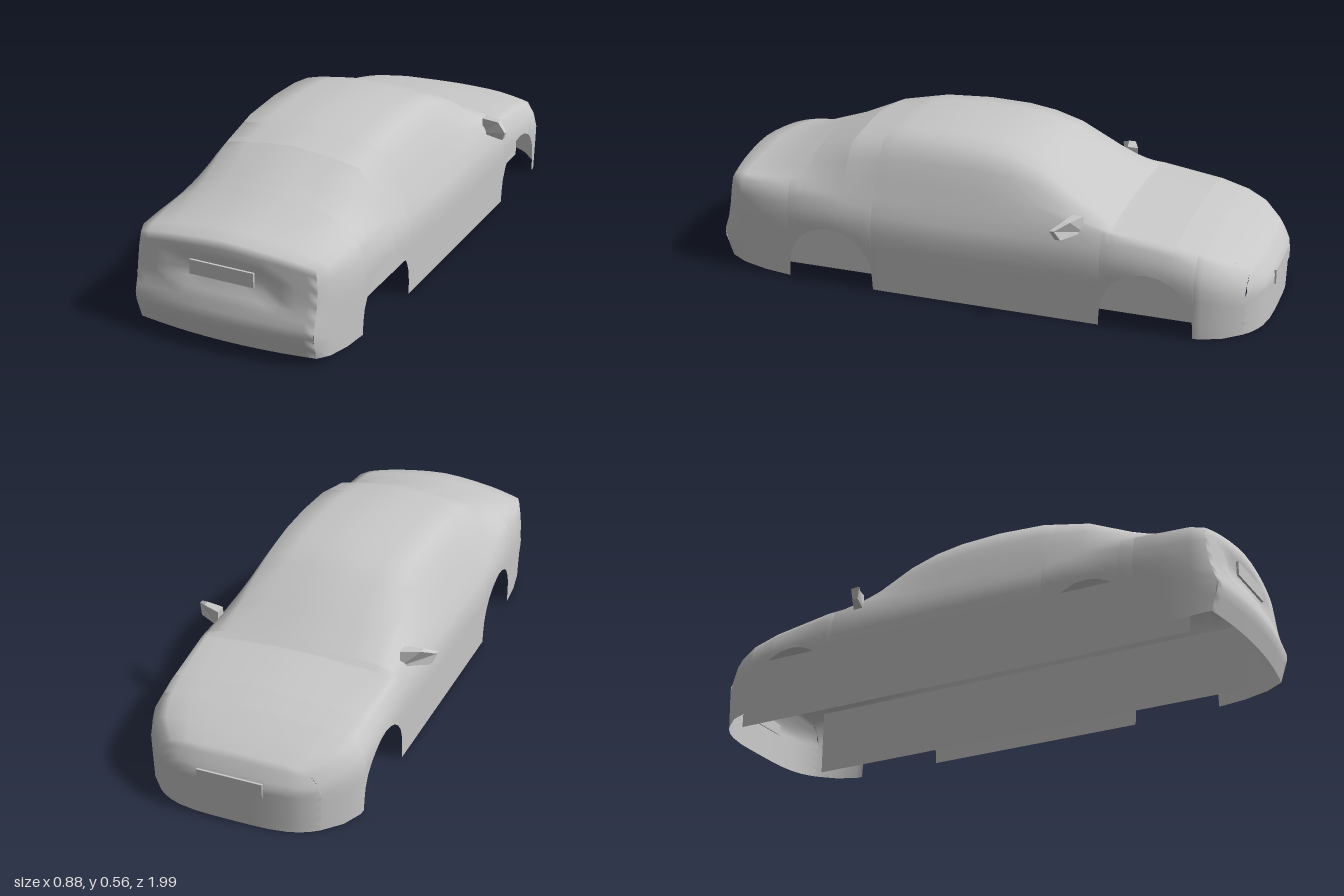
import * as THREE from 'three';
import { mergeVertices } from 'three/addons/utils/BufferGeometryUtils.js';

// Stations from nose to tail: z, half width, belt x, belt y, roof edge x, roof edge y, centre y
const STATIONS = [
  [-0.94, 0.29, 0.25, 0.21, 0.17, 0.235, 0.24],
  [-0.87, 0.345, 0.31, 0.245, 0.21, 0.265, 0.272],
  [-0.8, 0.375, 0.335, 0.27, 0.23, 0.288, 0.298],
  [-0.7, 0.38, 0.342, 0.295, 0.24, 0.31, 0.322],
  [-0.48, 0.38, 0.35, 0.325, 0.28, 0.335, 0.35],
  [-0.34, 0.38, 0.347, 0.333, 0.265, 0.405, 0.43],
  [-0.2, 0.38, 0.345, 0.335, 0.25, 0.485, 0.512],
  [-0.1, 0.38, 0.345, 0.335, 0.25, 0.515, 0.54],
  [0, 0.38, 0.345, 0.335, 0.25, 0.53, 0.552],
  [0.15, 0.38, 0.345, 0.335, 0.25, 0.535, 0.56],
  [0.32, 0.38, 0.345, 0.335, 0.25, 0.525, 0.55],
  [0.49, 0.378, 0.345, 0.335, 0.245, 0.49, 0.52],
  [0.64, 0.37, 0.345, 0.335, 0.235, 0.425, 0.46],
  [0.79, 0.36, 0.34, 0.335, 0.22, 0.378, 0.402],
  [0.88, 0.345, 0.333, 0.335, 0.21, 0.362, 0.383],
  [0.94, 0.325, 0.315, 0.332, 0.2, 0.355, 0.373],
];
const ARCHES = [-0.615, 0.53], ARCH_R = 0.16, ARCH_Y = 0.05;
const SIDE = 6, GLASS = 3, ROOF = 3;
const FRONT_FACE = [[0, 0.99], [0.16, 0.995], [0.2, 0.975], [0.24, 0.95]];
const REAR_FACE = [[0.03, 0.965], [0.12, 0.995], [0.2, 0.968], [0.3, 0.956], [0.375, 0.946]];
const SILL = [[0.69, 0.003], [0.85, 0.012], [0.94, 0.03]];

// Linear lookup in rows keyed by their first number
function lookup(rows, v) {
  if (v <= rows[0][0]) return rows[0];
  for (let i = 1; i < rows.length; i++) {
    if (v <= rows[i][0]) {
      const t = (v - rows[i - 1][0]) / (rows[i][0] - rows[i - 1][0]);
      return rows[i].map((b, k) => THREE.MathUtils.lerp(rows[i - 1][k], b, t));
    }
  }
  return rows[rows.length - 1];
}

// Lower edge of the body side, with the wheel arches cut upwards
function lowerEdge(z) {
  for (const c of ARCHES) {
    const d = Math.abs(z - c);
    if (d <= ARCH_R + 1e-6) return ARCH_Y + Math.sqrt(Math.max(0, ARCH_R ** 2 - d * d));
  }
  return lookup(SILL, z)[1];
}

// Depth of the nose and tail surfaces
function endZ(x, y, rear) {
  if (!rear) return -lookup(FRONT_FACE, y)[1] + 0.065 * (Math.abs(x) / 0.29) ** 4;
  const recess = Math.abs(x) < 0.17 && y > 0.215 && y < 0.305 ? 0.018 : 0;
  return lookup(REAR_FACE, y)[1] - 0.03 * (x / 0.325) ** 2 - recess;
}

// Half section from the lower edge to the centre line
function halfSection(z) {
  const [, hw, xb, yb, xe, ye, yt] = lookup(STATIONS, z);
  const y0 = lowerEdge(z), yMax = Math.min(0.22, yb * 0.65), pts = [];
  for (let i = 0; i <= SIDE; i++) {
    const y = THREE.MathUtils.lerp(y0, yb, i / SIDE);
    const x = y < yMax ? hw - 0.006 * (1 - y / yMax)
      : hw - (hw - xb) * ((y - yMax) / (yb - yMax)) ** 2;
    pts.push([x, y]);
  }
  for (let i = 1; i <= GLASS; i++) {
    const t = i / GLASS, bulge = 0.008 * Math.sin(Math.PI * t);
    pts.push([THREE.MathUtils.lerp(xb, xe, t) + bulge, THREE.MathUtils.lerp(yb, ye, t)]);
  }
  for (let i = 1; i <= ROOF; i++) {
    const t = 1 - i / ROOF;
    pts.push([xe * t, ye + (yt - ye) * (1 - t ** 1.5)]);
  }
  return pts;
}

function bodyGeometry() {
  const zs = STATIONS.map(s => s[0]);
  for (const c of ARCHES) {
    for (let i = 0; i <= 12; i++) zs.push(c - ARCH_R * Math.cos(Math.PI * i / 12));
    zs.push(c - ARCH_R - 0.002, c + ARCH_R + 0.002);
  }
  zs.sort((a, b) => a - b);

  const pos = [], index = [];
  const addGrid = (rows, flip) => {
    const base = pos.length / 3, n = rows[0].length;
    rows.forEach(r => r.forEach(p => pos.push(...p)));
    for (let r = 0; r < rows.length - 1; r++) for (let k = 0; k < n - 1; k++) {
      const a = base + r * n + k, b = a + n, c = a + 1, d = b + 1;
      if (flip) index.push(a, c, b, c, d, b);
      else index.push(a, b, c, c, b, d);
    }
  };

  // Sides, glasshouse, bonnet and boot lid in one skin
  const rings = zs.map((z, s) => {
    const half = halfSection(z);
    const full = [...half.map(([x, y]) => [-x, y]), ...half.slice(0, -1).reverse()];
    const end = s === 0 || s === zs.length - 1;
    return full.map(([x, y]) => [x, y, end ? endZ(x, y, s > 0) : z]);
  });
  addGrid(rings, false);

  // Nose and tail faces
  for (const rear of [false, true]) {
    const ring = rings[rear ? rings.length - 1 : 0];
    const top = ring.slice(SIDE, ring.length - SIDE);
    const xb = -top[0][0], yb = top[0][1], rows = [], steps = SIDE * 2;
    for (let j = 0; j <= steps; j++) {
      const f = j / 2, lo = ring[Math.floor(f)], hi = ring[Math.ceil(f)];
      const sx = -(lo[0] + hi[0]) / 2, sy = (lo[1] + hi[1]) / 2;
      rows.push(top.map(([tx, ty]) => {
        const x = tx / xb * sx, y = sy + (ty - yb) * (j / steps);
        return [x, y, endZ(x, y, rear)];
      }));
    }
    addGrid(rows, rear);
  }

  let geo = new THREE.BufferGeometry();
  geo.setAttribute('position', new THREE.Float32BufferAttribute(pos, 3));
  geo.setIndex(index);
  geo = mergeVertices(geo, 1e-4);
  geo.computeVertexNormals();
  return geo;
}

// Swept-back door mirror for the left side
function mirrorGeometry() {
  const outline = [[0.335, 0.315], [0.425, 0.315], [0.44, 0.35], [0.4, 0.372], [0.335, 0.372]];
  const shape = new THREE.Shape(outline.map(p => new THREE.Vector2(...p)));
  const geo = new THREE.ExtrudeGeometry(shape, { depth: 0.04, bevelEnabled: false });
  const p = geo.attributes.position;
  for (let i = 0; i < p.count; i++) {
    const t = (p.getX(i) - 0.335) / 0.105;
    p.setZ(i, -0.385 + 0.07 * t * t + p.getZ(i) * (1 - 0.6 * t));
  }
  geo.computeVertexNormals();
  return geo;
}

export function createModel() {
  const paint = new THREE.MeshStandardMaterial({ color: 0xc8c8c8, side: THREE.DoubleSide });
  paint.name = 'grey paint';
  const group = new THREE.Group();
  group.name = 'car';
  const add = (name, geo, x = 0, y = 0, z = 0) => {
    const mesh = new THREE.Mesh(geo, paint);
    mesh.name = name;
    mesh.position.set(x, y, z);
    group.add(mesh);
    return mesh;
  };

  add('bodyShell', bodyGeometry());

  // Inner walls behind the wheel arches, and door mirrors
  const mirror = mirrorGeometry();
  const mirrored = mirror.clone();
  for (const name of ['position', 'normal']) {
    const a = mirrored.attributes[name];
    for (let i = 0; i < a.count; i++) a.setX(i, -a.getX(i));
  }
  const p = mirrored.attributes.position;
  for (let i = 0; i < p.count; i += 3) {
    const a = new THREE.Vector3().fromBufferAttribute(p, i);
    const b = new THREE.Vector3().fromBufferAttribute(p, i + 1);
    p.setXYZ(i, b.x, b.y, b.z);
    p.setXYZ(i + 1, a.x, a.y, a.z);
  }
  mirrored.computeVertexNormals();
  add('leftMirror', mirror);
  add('rightMirror', mirrored);
  for (const s of [-1, 1]) {
    const wall = new THREE.PlaneGeometry(1.73, 0.24).rotateY(s * Math.PI / 2);
    add(s > 0 ? 'leftInnerWall' : 'rightInnerWall', wall, s * 0.26, 0.125, -0.025);
  }

  // Blank plates on nose and tail
  const plate = new THREE.BoxGeometry(0.23, 0.05, 0.008);
  add('tailPlate', plate, 0, 0.267, 0.958);
  add('nosePlate', plate, 0, 0.15, -0.994);
  return group;
}
